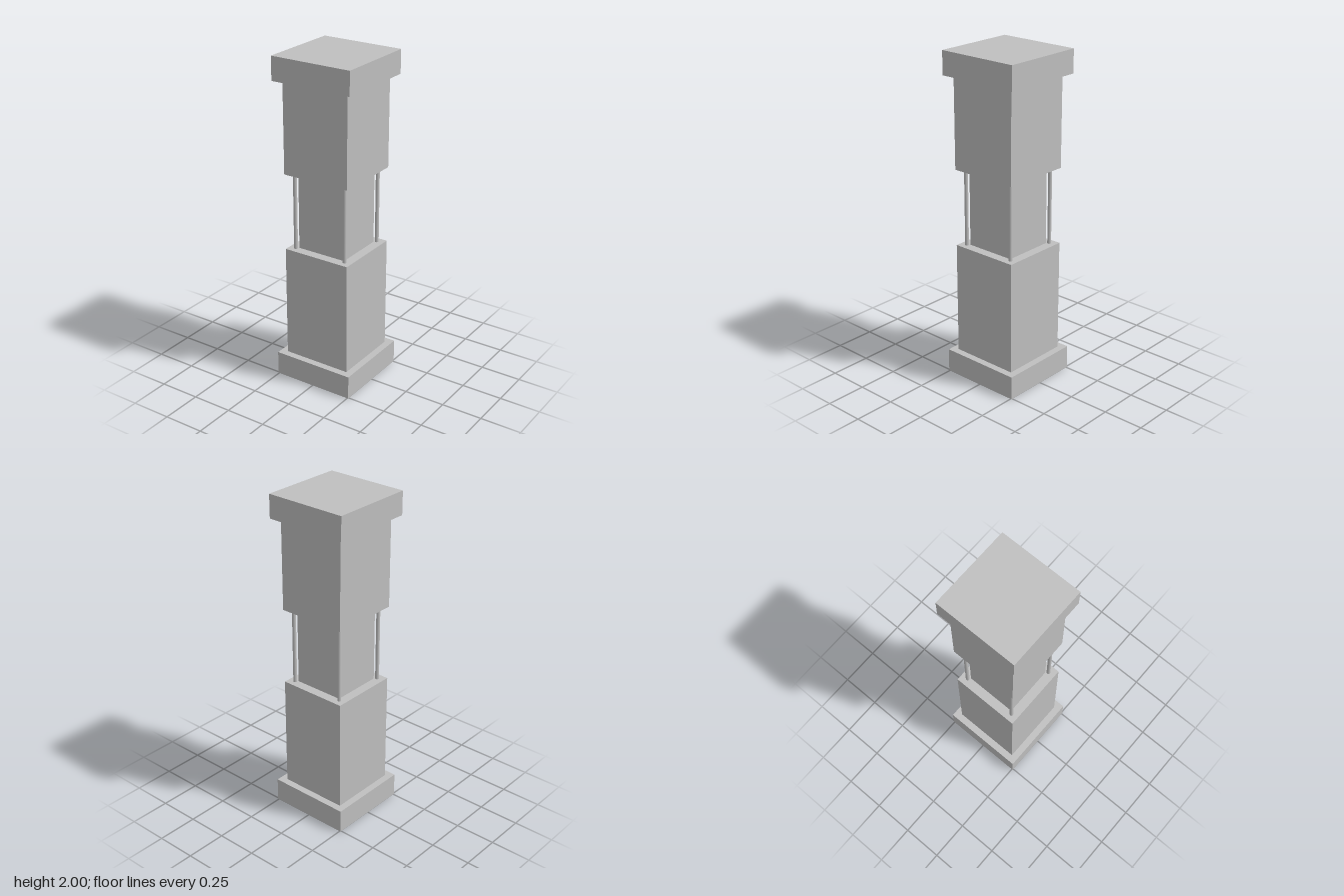
import * as THREE from 'three';

export function createModel() {
  const model = new THREE.Group();
  model.name = 'pillar';

  const stone = new THREE.MeshStandardMaterial({ color: 0xbfbfbf });
  stone.name = 'light grey';

  // Square block spanning y0 to y1
  function block(name, width, y0, y1) {
    const mesh = new THREE.Mesh(new THREE.BoxGeometry(width, y1 - y0, width), stone);
    mesh.name = name;
    mesh.position.y = (y0 + y1) / 2;
    model.add(mesh);
  }

  const lowerTop = 0.836, upperBottom = 1.304;
  block('basePlinth', 0.513, 0, 0.145);
  block('lowerShaft', 0.428, 0.145, lowerTop);
  block('core', 0.314, lowerTop, upperBottom);
  block('upperShaft', 0.428, upperBottom, 1.858);
  block('capital', 0.513, 1.858, 2);

  // Slim rods at the four corners of the open section
  const rodGeometry = new THREE.CylinderGeometry(0.0115, 0.0115, upperBottom - lowerTop, 12);
  const rods = new THREE.Group();
  rods.name = 'cornerRods';
  for (const x of [-1, 1]) {
    for (const z of [-1, 1]) {
      const rod = new THREE.Mesh(rodGeometry, stone);
      rod.name = `${z > 0 ? 'front' : 'back'}${x > 0 ? 'Left' : 'Right'}Rod`;
      rod.position.set(x * 0.171, (lowerTop + upperBottom) / 2, z * 0.171);
      rods.add(rod);
    }
  }
  model.add(rods);

  return model;
}
